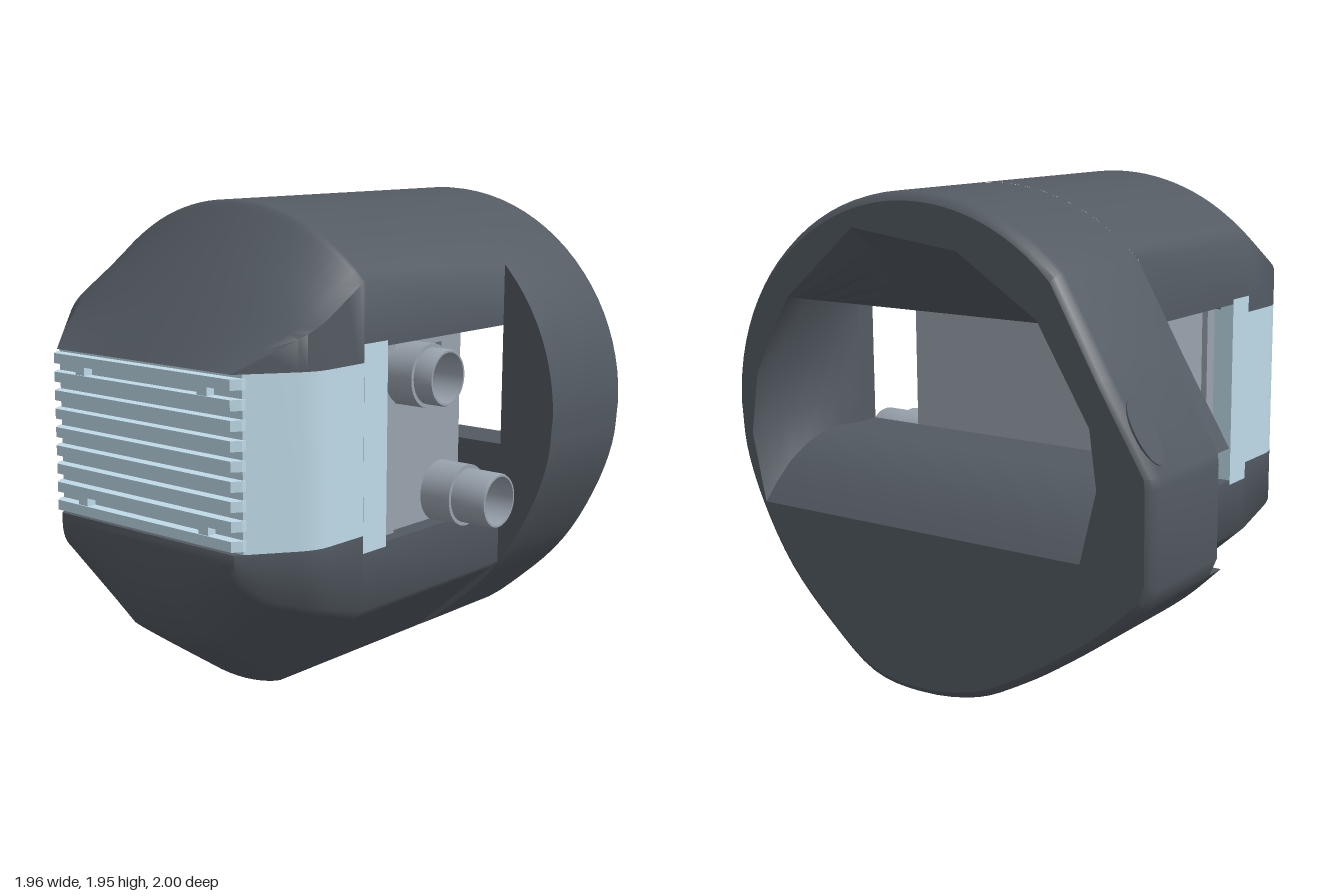
import * as THREE from 'three';
import { toCreasedNormals } from 'three/addons/utils/BufferGeometryUtils.js';

const V2 = ([x, y]) => new THREE.Vector2(x, y);
const dark = new THREE.MeshStandardMaterial({ color: 0x535a62 });
const darkDouble = new THREE.MeshStandardMaterial({ color: 0x535a62, side: THREE.DoubleSide });
const blue = new THREE.MeshStandardMaterial({ color: 0xbfdbe8 });
const grey = new THREE.MeshStandardMaterial({ color: 0x99a3ad, side: THREE.DoubleSide });
const CX = 0.075;

function add(parent, name, geometry, material, x = 0, y = 0, z = 0) {
  const mesh = new THREE.Mesh(geometry, material);
  mesh.name = name;
  mesh.position.set(x, y, z);
  parent.add(mesh);
  return mesh;
}

// Joins closed cross-sections {z, pts} (anticlockwise seen from +z, z rising)
function loft(sections, frontCap, crease) {
  const n = sections[0].pts.length, pos = [], idx = [];
  sections.forEach(s => s.pts.forEach(p => pos.push(p[0], p[1], s.z)));
  for (let s = 0; s < sections.length - 1; s++) {
    for (let i = 0; i < n; i++) {
      const a = s * n + i, b = s * n + (i + 1) % n;
      idx.push(a, b, b + n, a, b + n, a + n);
    }
  }
  if (frontCap) {
    const last = (sections.length - 1) * n;
    for (const [a, b, c] of THREE.ShapeUtils.triangulateShape(sections.at(-1).pts.map(V2), [])) idx.push(last + a, last + b, last + c);
  }
  const g = new THREE.BufferGeometry();
  g.setAttribute('position', new THREE.Float32BufferAttribute(pos, 3));
  g.setIndex(idx);
  return toCreasedNormals(g.toNonIndexed(), crease);
}

// Flat plate with one hole
function plate(outline, hole) {
  const shape = new THREE.Shape(outline.map(V2));
  shape.holes.push(new THREE.Path(hole.map(V2)));
  return new THREE.ShapeGeometry(shape);
}

// Plan outline of [x, z] points raised by a height
function raisePlan(plan, height) {
  const shape = new THREE.Shape(plan.map(([x, z]) => V2([x, -z])));
  const g = new THREE.ExtrudeGeometry(shape, { depth: height, bevelEnabled: false });
  return toCreasedNormals(g.rotateX(-Math.PI / 2), 0.5);
}

const topArch = x => 1.07 + 0.885 * Math.sqrt(1 - ((x - 0.07) / 0.91) ** 2);
const keel = x => {
  const u = Math.abs(x - CX);
  return u < 0.23 ? 0.005 + 0.035 * (u / 0.23) ** 2 : 0.04 + (u - 0.23) * 0.9;
};
// Half width, with the front corners softly cut off
const halfWidth = z => {
  const d = z - 0.73, b = 0.06;
  return 0.655 - 0.72 * (d < -b ? 0 : d < b ? (d + b) ** 2 / (4 * b) : d);
};
const cornerZ = [0.67, 0.7, 0.73, 0.76, 0.79];

// Upper or lower body half: a curved edge flattened towards a level edge by t
function bodySection(z, t, level, curve, upper) {
  const N = 28, w = halfWidth(z), pts = [];
  for (let i = 0; i <= N; i++) {
    const u = 1 - 2 * i / N;
    pts.push([CX + u * w, level + (curve(CX + u * 0.655) - level) * t]);
  }
  if (!upper) pts.reverse();
  const side = upper ? 1 : -1;
  pts.push([CX - side * w, level], [CX + side * w, level]);
  return { z, pts };
}

// Rear outline in two runs: over the top to the wing, then along the bottom
function rearOutline() {
  const over = [], under = [];
  for (let i = 0; i <= 32; i++) {
    const a = i / 32 * 2.36;
    over.push([0.07 + 0.91 * Math.cos(a), 1.07 + 0.885 * Math.sin(a)]);
  }
  over.push([-0.78, 1.34], [-0.975, 1.02]);
  const low = [[-0.95, 0.55], [-0.8, 0.41], [-0.6, 0.265], [-0.4, 0.14], [-0.2, 0.045], [0.07, 0.005],
    [0.3, 0.04], [0.52, 0.2], [0.73, 0.41], [0.88, 0.66], [0.96, 0.88], [0.98, 1.07]];
  const curve = new THREE.CatmullRomCurve3(low.map(p => new THREE.Vector3(p[0], p[1], 0)));
  curve.getPoints(44).slice(0, -1).forEach(p => under.push([p.x, p.y]));
  return { over, under };
}

function addShell(root) {
  const shell = new THREE.Group();
  shell.name = 'shell';
  root.add(shell);

  // Upper hood: level top, then a straight slope to the grille
  const hoodZ = [0.471, 0.485, 0.5, 0.57, ...cornerZ, 0.88, 0.99];
  const hood = [...[-0.44, 0.455, 0.47].map(z => bodySection(z, 1, 1.43, topArch, true)),
    ...hoodZ.map(z => bodySection(z, Math.min(1, (0.991 - z) / 0.515), 1.38, topArch, true))];
  add(shell, 'upperHood', loft(hood, false, 0.95), dark);

  // Lower hull: straight rise, then a rounded chin
  const chin = [[0.85, 0.64], [0.88, 0.59], [0.91, 0.52], [0.935, 0.45], [0.955, 0.38], [0.97, 0.3], [0.98, 0.22], [0.985, 0.12]];
  const rise = [0.471, 0.485, 0.5, 0.57, ...cornerZ].map(z => [z, 1 - (z - 0.471) * 0.95]);
  const hull = [...[-0.44, 0.455, 0.47].map(z => bodySection(z, 1, 0.67, keel, false)),
    ...[...rise, ...chin].map(([z, t]) => bodySection(z, t, 0.72, keel, false))];
  add(shell, 'lowerHull', loft(hull, true, 1.1), dark);

  // Wide rear housing with a rounded rear rim
  const { over, under } = rearOutline();
  const outline = [...over, [-0.98, 0.98], [-0.98, 0.62], ...under];
  const inset = k => outline.map(([x, y]) => [x * k, 0.98 + (y - 0.98) * k]);
  const seam = -0.53;
  const rim = [[-1, 0.965], [-0.988, 0.985], [-0.965, 0.997], [-0.94, 1], [seam, 1]];
  add(shell, 'rearHousing', loft(rim.map(([z, k]) => ({ z, pts: inset(k) })), false, 0.6), dark);

  // Front collar, left open at the passage and in a notch below the wing
  const collar = [...over, [-0.65, 1.02], [-0.61, 1.035], [-0.585, 1.07], [-0.58, 1.1], [-0.58, 1.43],
    [0.73, 1.43], [0.73, 0.93], [-0.58, 0.93], [-0.58, 0.55], ...under];
  const collarBody = new THREE.ExtrudeGeometry(new THREE.Shape(collar.map(V2)), { depth: 0.09, bevelEnabled: false });
  add(shell, 'frontCollar', toCreasedNormals(collarBody, 0.5), dark, 0, 0, seam);

  // Funnel from the rear opening to the cross passage, with a humped floor
  const opening = [[0.84, 0.67], [0.9, 0.95], [0.86, 1.2], [0.68, 1.52], [0.34, 1.81],
    [-0.15, 1.75], [-0.5, 1.53], [-0.72, 1.17], [-0.75, 0.95], [-0.68, 0.67]];
  const passage = [[0.73, 0.93], [0.73, 1.1], [0.73, 1.3], [0.73, 1.43], [0.3, 1.43],
    [-0.2, 1.43], [-0.58, 1.43], [-0.58, 1.02], [-0.75, 1.02], [-0.75, 0.93]];
  const floor = [[-1, 0.67], [-0.95, 0.74], [-0.88, 0.82], [-0.8, 0.88], [-0.71, 0.92], [-0.62, 0.93], [seam, 0.93]];
  const funnel = floor.map(([z, floorY]) => {
    const t = (z + 1) / (seam + 1);
    return { z, pts: opening.map(([x, y], i) => [
      x + (passage[i][0] - x) * t,
      i === 0 || i === 9 ? floorY : y + (passage[i][1] - y) * t]) };
  });
  add(shell, 'rearFunnel', loft(funnel, false, 0.5), darkDouble);
  add(shell, 'rearFace', plate(inset(0.965), opening), darkDouble, 0, 0, -1);
  add(shell, 'housingFrontFace', plate(outline, passage), darkDouble, 0, 0, seam);

  // Plug on the sloping shoulder, round when seen from above
  const disc = new THREE.CylinderGeometry(0.065, 0.065, 0.008, 32).scale(1 / 0.52, 1, 1);
  const plug = add(shell, 'shoulderPlug', disc, dark, -0.89, 1.16, -0.91);
  plug.rotation.z = Math.atan2(0.854, 0.52);
}

function addGrille(root) {
  const grille = new THREE.Group();
  grille.name = 'frontGrille';
  root.add(grille);

  // U-shaped wrap following the body's plan
  const wrapZ = [0.33, ...cornerZ, 0.955];
  const outer = wrapZ.map(z => [halfWidth(z), z]);
  const inner = [[0.6, 0.33], [0.6, 0.7], [0.44, 0.9]];
  const mirrored = pts => pts.map(([x, z]) => [-x, z]);
  const plan = [...outer, ...mirrored(outer).reverse(), ...mirrored(inner), ...inner.slice().reverse()];
  add(grille, 'wrapPanel', raisePlan(plan, 0.66), blue, CX, 0.72, 0);
  for (const s of [-1, 1]) {
    add(grille, 'sideFlange', new THREE.BoxGeometry(0.06, 0.8, 0.14), blue, CX + s * 0.626, 1.05, 0.4);
  }

  // Horizontal fins with tapered ends, bridged at top and bottom
  const finPlan = [[0.5, 0.94], [0.5, 0.965], [0.475, 1], [-0.475, 1], [-0.5, 0.965], [-0.5, 0.94]];
  for (let i = 0; i < 9; i++) {
    add(grille, 'fin', raisePlan(finPlan, 0.04), blue, CX, 0.735 + i * 0.0738, 0);
  }
  for (const y of [0.792, 1.308]) {
    for (const s of [-1, 1]) {
      add(grille, 'finBridge', new THREE.BoxGeometry(0.05, 0.04, 0.05), blue, CX + s * 0.33, y, 0.97);
    }
  }
}

function addCore(root) {
  const core = new THREE.Group();
  core.name = 'core';
  root.add(core);

  // Block drilled from side to side
  const shape = new THREE.Shape([[-0.21, 0.67], [0.25, 0.67], [0.25, 1.43], [-0.21, 1.43]].map(V2));
  shape.holes.push(new THREE.Path().absarc(0.12, 0.78, 0.098, 0, Math.PI * 2, true));
  shape.holes.push(new THREE.Path([[0.08, 1.35], [0.08, 1.39], [0.12, 1.39], [0.12, 1.35]].map(V2)));
  const block = new THREE.ExtrudeGeometry(shape, { depth: 1.15, bevelEnabled: false, curveSegments: 24 });
  add(core, 'coreBlock', block.rotateY(Math.PI / 2), grey, -0.5, 0, 0);
  add(core, 'corePlate', new THREE.BoxGeometry(1.2, 0.8, 0.06), grey, CX, 1.05, 0.24);

  // Stepped pipe sockets; profile is [radius, distance outward]
  const socket = (name, side, y, z, start, collarEnd, tubeEnd) => {
    const profile = [[0.098, start], [0.125, start], [0.125, collarEnd], [0.11, collarEnd], [0.11, tubeEnd - 0.01],
      [0.106, tubeEnd], [0.098, tubeEnd], [0.098, start]].map(V2);
    const g = toCreasedNormals(new THREE.LatheGeometry(profile, 40).toNonIndexed(), 0.5);
    add(core, name, g, grey, 0, y, z).rotation.z = -side * Math.PI / 2;
  };
  socket('leftLowerSocket', 1, 0.78, -0.12, 0.64, 0.79, 0.945);
  socket('leftUpperSocket', 1, 1.3, 0.15, 0.64, 0.8, 0.88);
  socket('rightSocket', -1, 0.78, -0.12, 0.49, 0.63, 0.71);
}

export function createModel() {
  const root = new THREE.Group();
  root.name = 'model';
  addShell(root);
  addGrille(root);
  addCore(root);
  return root;
}
